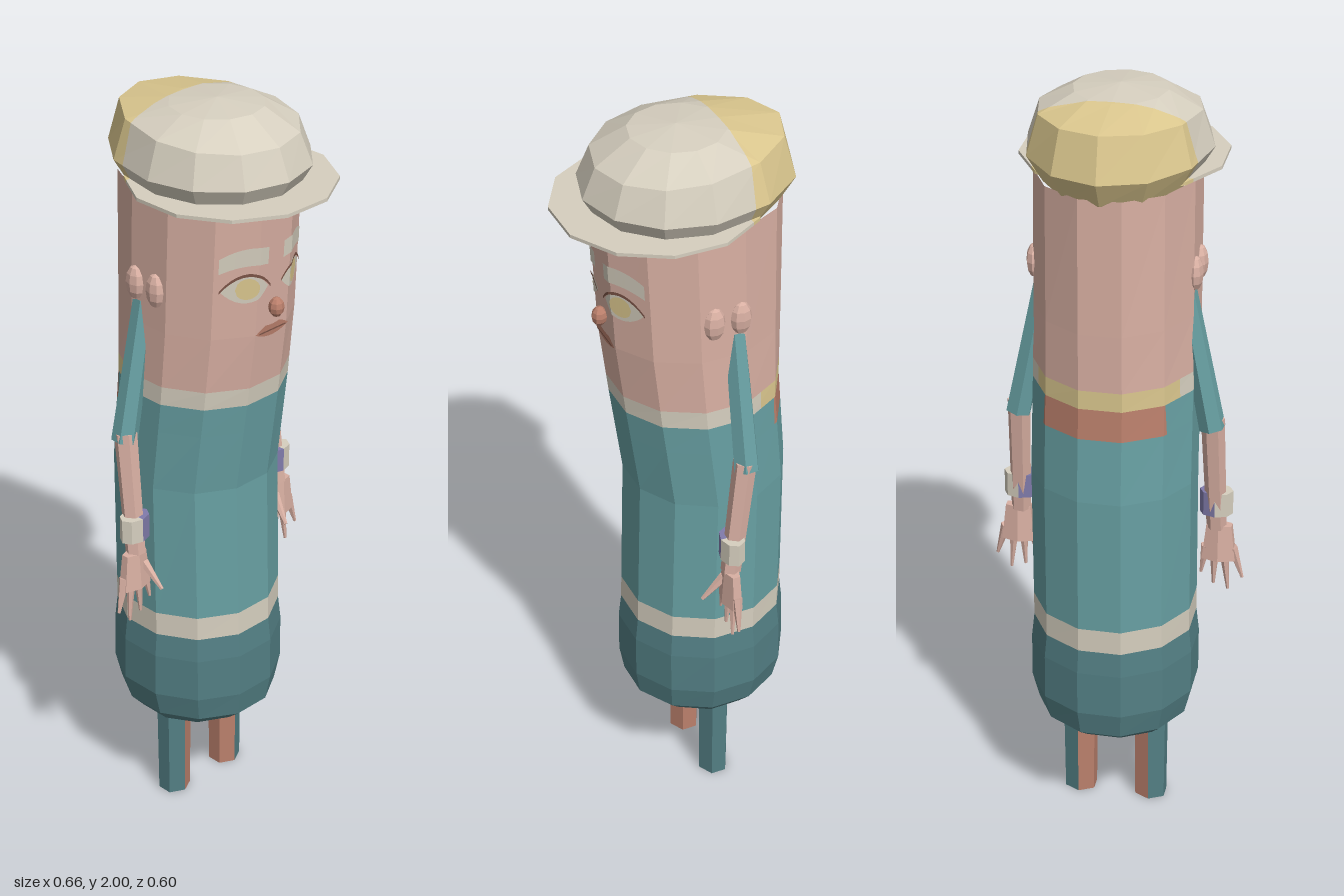
import * as THREE from 'three';

const mat = (name, color) => Object.assign(new THREE.MeshStandardMaterial({ color, flatShading: true }), { name });

export function createModel() {
  const root = new THREE.Group();
  const skin = mat('skin', 0xd9b0a3), teal = mat('teal cloth', 0x68a0a3), darkTeal = mat('dark teal cloth', 0x537f84);
  const cream = mat('cream', 0xd6cfbf), yellow = mat('straw yellow', 0xdcc88f), rust = mat('rust', 0xbb806c);
  const purple = mat('purple', 0x807bab), brown = mat('brown', 0x7d5548);

  const add = (name, geo, material, parent = root) => {
    const m = new THREE.Mesh(geo, material);
    m.name = name;
    parent.add(m);
    return m;
  };
  const toGeo = (pts) => {
    const g = new THREE.BufferGeometry().setFromPoints(pts);
    g.computeVertexNormals();
    return g;
  };

  // Twelve-sided loft; ring = [y, half width, centre z, front depth, back depth, tilt]
  const N = 12;
  function loft(rings, offset = 0) {
    const k = 1 / Math.cos(offset);
    const at = ([y, r, zc, f, b, tilt = 0], j) => {
      const a = (j / N) * Math.PI * 2 + offset, c = Math.cos(a);
      const z = zc + c * k * (c > 0 ? f : b);
      return new THREE.Vector3(Math.sin(a) * r * k, y - tilt * z, z);
    };
    const tris = [];
    for (let i = 0; i + 1 < rings.length; i++)
      for (let j = 0; j < N; j++) {
        const a = at(rings[i], j), b = at(rings[i], j + 1), c = at(rings[i + 1], j + 1), d = at(rings[i + 1], j);
        if (rings[i][1] > 0) tris.push(a, b, c);
        if (rings[i + 1][1] > 0) tris.push(a, c, d);
      }
    return tris;
  }

  // Keep the part of a triangle list on one side of z = cut
  function clip(tris, cut, side) {
    const out = [];
    for (let i = 0; i < tris.length; i += 3) {
      const poly = [];
      for (let j = 0; j < 3; j++) {
        const p = tris[i + j], q = tris[i + (j + 1) % 3];
        const dp = (p.z - cut) * side, dq = (q.z - cut) * side;
        if (dp >= 0) poly.push(p);
        if (dp * dq < 0) poly.push(p.clone().lerp(q, dp / (dp - dq)));
      }
      for (let j = 1; j + 1 < poly.length; j++) out.push(poly[0], poly[j], poly[j + 1]);
    }
    return out;
  }
  const split = (name, tris, cut, front, back) => {
    add(name + 'Front', toGeo(clip(tris, cut, 1)), front);
    add(name + 'Back', toGeo(clip(tris, cut, -1)), back);
  };

  // Body profile: y, half width, front z, back z
  const knots = [
    [0.275, 0.165, 0.09, -0.23], [0.31, 0.195, 0.13, -0.275], [0.38, 0.212, 0.142, -0.29],
    [0.5, 0.212, 0.142, -0.287], [0.565, 0.205, 0.135, -0.28], [1.0, 0.205, 0.125, -0.28],
    [1.25, 0.203, 0.16, -0.26], [1.45, 0.2, 0.185, -0.26], [1.8, 0.198, 0.205, -0.258],
  ];
  const profile = (y) => {
    let i = 0;
    while (i < knots.length - 2 && y > knots[i + 1][0]) i++;
    const t = (y - knots[i][0]) / (knots[i + 1][0] - knots[i][0]);
    return knots[i].map((v, n) => v + (knots[i + 1][n] - v) * t);
  };
  const bodyRing = (y) => {
    const [, r, f, b] = profile(y);
    return [y, r, (f + b) / 2, (f - b) / 2, (f - b) / 2];
  };
  const section = (y0, y1) => {
    const ys = [y0, ...knots.map((k) => k[0]).filter((y) => y > y0 + 0.001 && y < y1 - 0.001), y1];
    return loft(ys.map(bodyRing), Math.PI / 12);
  };
  const underside = loft([[0.275, 0, -0.07, 0, 0], bodyRing(0.275)], Math.PI / 12);
  add('trousers', toGeo([...underside, ...section(0.275, 0.565)]), darkTeal);
  add('belt', toGeo(section(0.565, 0.63)), cream);
  add('shirt', toGeo(section(0.63, 1.17)), teal);
  split('shirtYoke', section(1.17, 1.25), -0.2, teal, rust);
  split('collar', section(1.25, 1.3), -0.15, cream, yellow);
  add('head', toGeo(section(1.3, 1.8)), skin);

  // Cap crown and peak, with a yellow back
  split('capCrown', loft([
    [1.785, 0, 0, 0, 0], [1.785, 0.19, 0, 0.2, 0.26], [1.853, 0.23, 0, 0.24, 0.3],
    [1.945, 0.2, 0, 0.207, 0.27, 0.07], [1.988, 0.117, 0, 0.117, 0.12], [2.0, 0, 0, 0, 0],
  ]), -0.11, cream, yellow);
  split('capPeak', loft([
    [1.803, 0, 0.05, 0, 0], [1.803, 0.25, 0.05, 0.25, 0.25],
    [1.812, 0.25, 0.05, 0.25, 0.25], [1.812, 0, 0.05, 0, 0],
  ], Math.PI / 12), -0.11, cream, yellow);

  // Thin face plates that follow the facets of the head
  const faceZ = (x, y) => {
    const [, r, f, b] = profile(y), crease = r * 0.268;
    return f - Math.max(0, Math.abs(x) - crease) / (r * 0.464) * (f - b) / 2 * 0.268;
  };
  function plate(name, material, cx, half, top, bottom, lift) {
    const xs = [];
    for (let i = 0; i <= 10; i++) xs.push(cx - half + (half * i) / 5);
    for (const c of [-0.0534, 0.0534]) if (Math.abs(c - cx) < half) xs.push(c);
    xs.sort((a, b) => a - b);
    const pt = (x, fn) => {
      const y = fn((x - cx) / half);
      return new THREE.Vector3(x, y, faceZ(x, y) + lift);
    };
    const pts = [];
    for (let i = 0; i + 1 < xs.length; i++) {
      const a = pt(xs[i], bottom), b = pt(xs[i + 1], bottom), c = pt(xs[i + 1], top), d = pt(xs[i], top);
      pts.push(a, b, c, a, c, d);
    }
    add(name, toGeo(pts), material);
  }
  const bow = (u) => 1 - u * u, round = (u) => Math.sqrt(Math.max(0, 1 - u * u));

  // Cylinder between two points
  const limb = (name, material, a, b, ra, rb, parent) => {
    const p = new THREE.Vector3(...a), q = new THREE.Vector3(...b);
    const m = add(name, new THREE.CylinderGeometry(rb, ra, p.distanceTo(q), 6), material, parent);
    m.position.copy(p).lerp(q, 0.5);
    m.quaternion.setFromUnitVectors(new THREE.Vector3(0, 1, 0), q.sub(p).normalize());
    return m;
  };

  for (const s of [1, -1]) {
    const side = s > 0 ? 'left' : 'right';

    // Eye, lid and brow
    const cx = s * 0.078;
    plate(side + 'Eye', cream, cx, 0.056, (u) => 1.58 + 0.036 * bow(u), (u) => 1.58 - 0.036 * bow(u), 0.003);
    plate(side + 'Iris', yellow, cx, 0.026, (u) => 1.582 + 0.028 * round(u), (u) => 1.582 - 0.028 * round(u), 0.005);
    plate(side + 'Eyelid', brown, cx, 0.06, (u) => 1.584 + 0.04 * bow(u), (u) => 1.577 + 0.039 * bow(u), 0.007);
    plate(side + 'Brow', cream, s * 0.082, 0.056, (u) => 1.675 + 0.014 * bow(u) - 0.008 * u * s,
      (u) => 1.633 + 0.01 * bow(u) - 0.006 * u * s, 0.004);

    // Paired ear lobes
    for (const z of [-0.01, -0.08]) {
      const ear = add(side + 'Ear', new THREE.SphereGeometry(1, 8, 6), skin);
      ear.scale.set(0.02, 0.045, 0.028);
      ear.position.set(s * 0.2, 1.555, z);
    }

    // Arm
    const arm = new THREE.Group();
    arm.name = side + 'Arm';
    root.add(arm);
    limb('sleeve', teal, [s * 0.176, 1.505, -0.075], [s * 0.248, 1.135, -0.078], 0.028, 0.034, arm);
    limb('forearm', skin, [s * 0.248, 1.16, -0.074], [s * 0.257, 0.83, -0.035], 0.03, 0.026, arm);
    for (const half of [1, -1]) {
      const band = add('wristband', new THREE.CylinderGeometry(1, 1, 0.065, 4, 1, false, half > 0 ? 0 : Math.PI, Math.PI),
        half === s ? cream : purple, arm);
      band.scale.set(0.043, 1, 0.031);
      band.position.set(s * 0.256, 0.905, -0.038);
    }
    const palm = add('palm', new THREE.CylinderGeometry(0.75, 1, 0.1, 6), skin, arm);
    palm.scale.set(0.05, 1, 0.026);
    palm.position.set(s * 0.264, 0.785, -0.033);
    const tips = [[0.217, 0.685], [0.25, 0.655], [0.288, 0.642], [0.325, 0.68]];
    tips.forEach(([x, y], i) => limb('finger', skin, [s * (0.23 + i * 0.023), 0.77, -0.034], [s * x, y, -0.028], 0.014, 0.004, arm));
    limb('thumb', skin, [s * 0.24, 0.8, -0.025], [s * 0.228, 0.735, 0.03], 0.014, 0.005, arm);

    // Leg: dark cloth outside, rust inside and underneath
    for (const half of [1, -1]) {
      const leg = add(side + 'Leg', new THREE.CylinderGeometry(0.048, 0.045, 0.3, 3, 1, false, half > 0 ? 0 : Math.PI, Math.PI),
        [half === s ? darkTeal : rust, rust, rust]);
      leg.scale.z = 0.9;
      leg.position.set(s * 0.096, 0.15, -0.068);
    }
  }

  // Mouth and nose
  plate('mouth', rust, 0, 0.056, (u) => 1.453 + 0.02 * bow(u) - 0.006 * bow(u * 2.5) * (Math.abs(u) < 0.4),
    (u) => 1.453 - 0.016 * bow(u), 0.004);
  plate('mouthLine', brown, 0, 0.045, (u) => 1.455, (u) => 1.451, 0.006);
  const nose = add('nose', new THREE.SphereGeometry(0.02, 8, 6), rust);
  nose.scale.y = 1.3;
  nose.position.set(0, 1.517, 0.203);

  return root;
}
